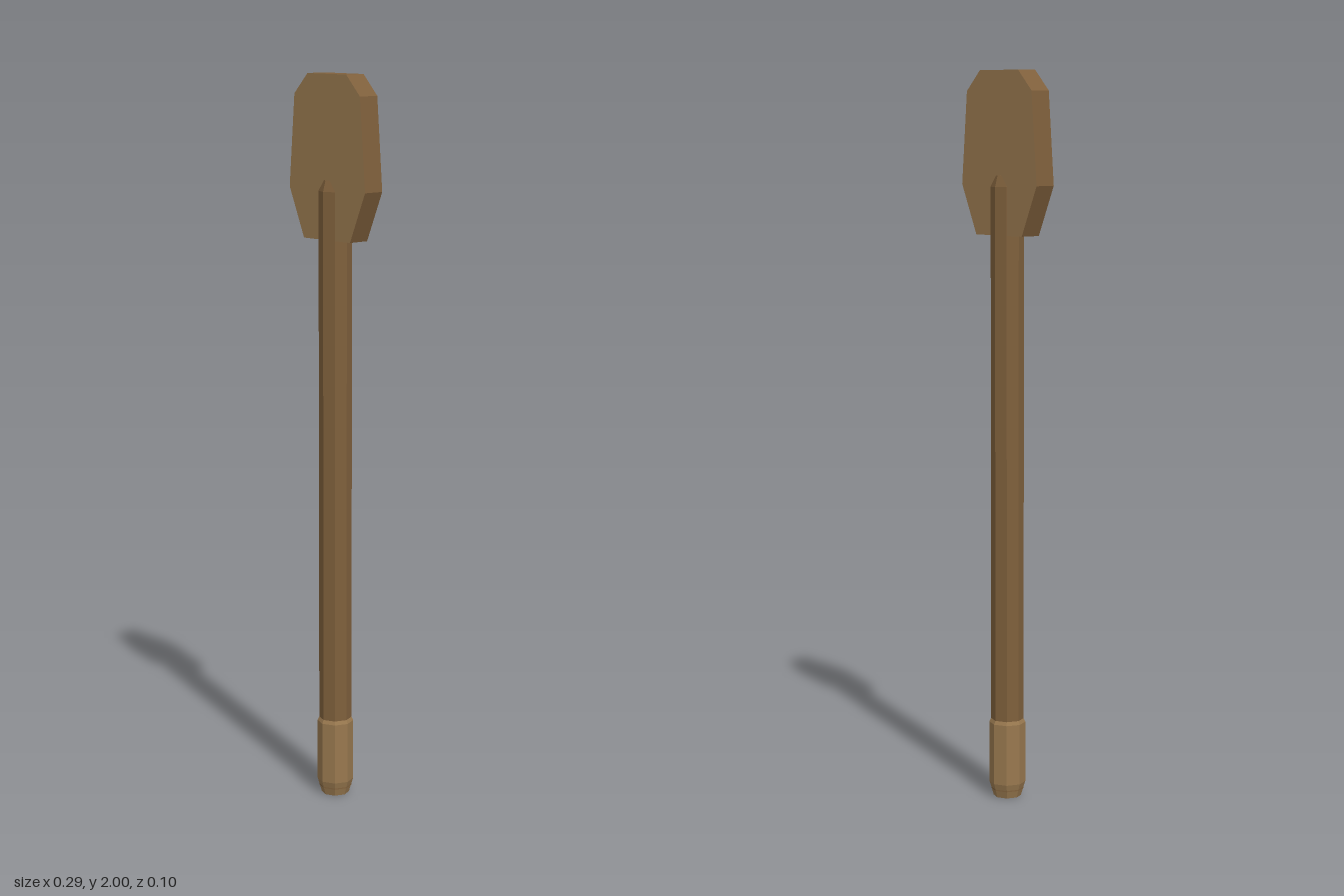
import * as THREE from 'three';

const SIDES = 8;
const darkWood = new THREE.MeshStandardMaterial({ color: 0x7f603c, flatShading: true });
const lightWood = new THREE.MeshStandardMaterial({ color: 0x98784f, flatShading: true });

// Octagonal turned part from [radius, height] pairs, listed bottom to top
function turned(name, profile, material) {
  const points = profile.map(([r, y]) => new THREE.Vector2(r, y));
  const mesh = new THREE.Mesh(new THREE.LatheGeometry(points, SIDES), material);
  mesh.name = name;
  return mesh;
}

// Flat blade, mirrored about x = 0, with darker cut edges
function makeBlade() {
  const half = [[0.09, 1.56], [0.147, 1.695], [0.127, 1.945], [0.075, 2]];
  const outline = [...half, ...half.map(([x, y]) => [-x, y]).reverse()];
  const shape = new THREE.Shape(outline.map(([x, y]) => new THREE.Vector2(x, y)));
  const depth = 0.063;
  const geometry = new THREE.ExtrudeGeometry(shape, { depth, bevelEnabled: false });
  geometry.translate(0, 0, -depth / 2);
  const mesh = new THREE.Mesh(geometry, [lightWood, darkWood]);
  mesh.name = 'blade';
  return mesh;
}

export function createModel() {
  const model = new THREE.Group();
  model.name = 'paddle';

  // Long shaft with a chamfered top running into the blade
  model.add(turned('shaft', [
    [0, 0.02], [0.045, 0.02], [0.045, 1.69], [0.036, 1.72], [0, 1.72],
  ], darkWood));

  // Slightly thicker grip with chamfered ends
  model.add(turned('grip', [
    [0, 0], [0.038, 0], [0.05, 0.04], [0.05, 0.21], [0.044, 0.222], [0, 0.222],
  ], lightWood));

  model.add(makeBlade());
  return model;
}
